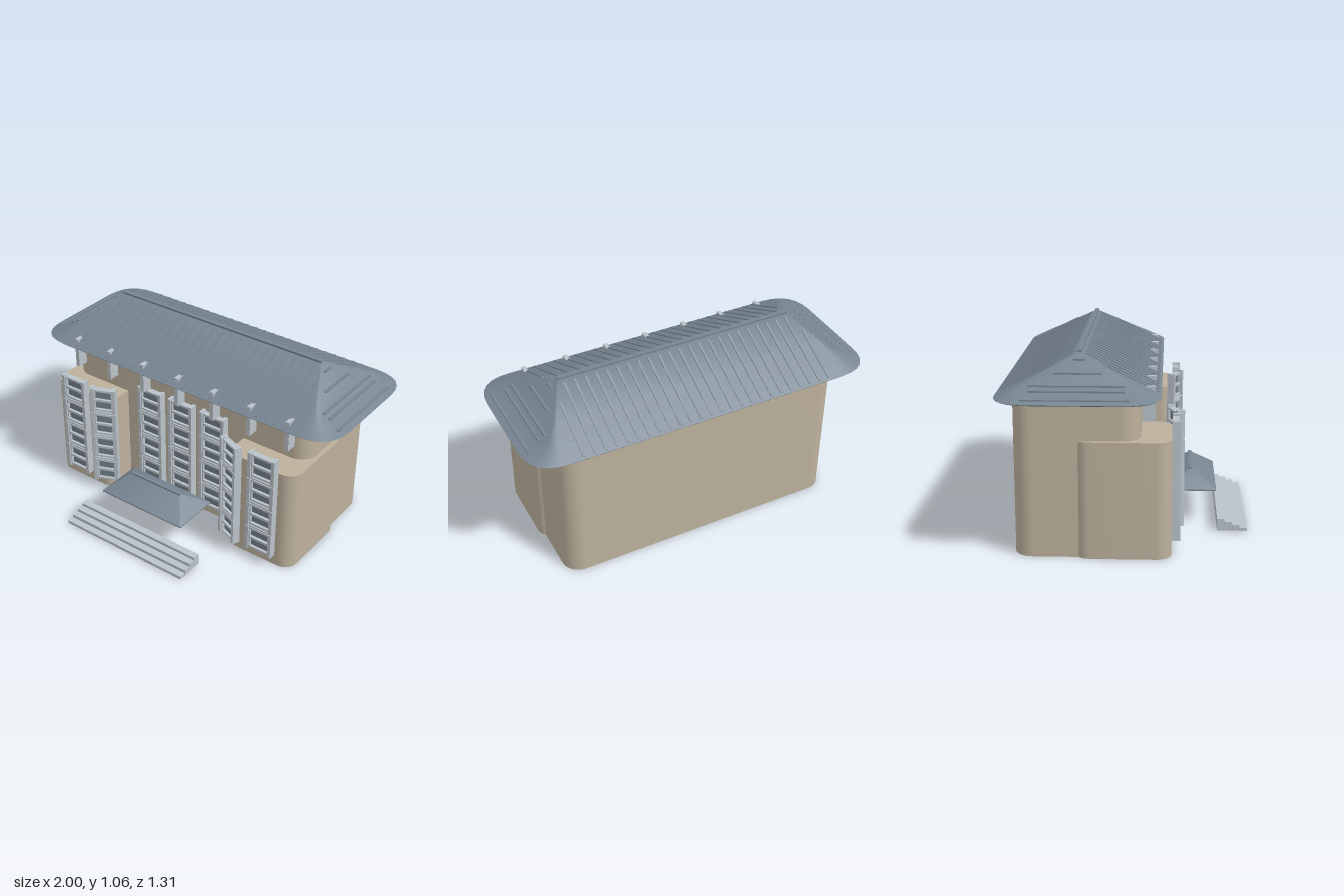
import * as THREE from 'three';
import { toCreasedNormals } from 'three/addons/utils/BufferGeometryUtils.js';

const material = (name, color) => {
  const m = new THREE.MeshStandardMaterial({ color });
  m.name = name;
  return m;
};

export function createModel() {
  const stone = material('tan wall', 0xbdb19d);
  const slate = material('slate roof', 0x788692);
  const pale = material('pale trim', 0xbac3ca);
  const glass = material('window grey', 0x737f89);
  const model = new THREE.Group();

  const add = (parent, name, geo, mat, x = 0, y = 0, z = 0) => {
    const mesh = new THREE.Mesh(geo, mat);
    mesh.name = name;
    mesh.position.set(x, y, z);
    parent.add(mesh);
    return mesh;
  };
  // box given by its minimum and maximum on each axis
  const box = (parent, name, mat, x0, x1, y0, y1, z0, z1) =>
    add(parent, name, new THREE.BoxGeometry(x1 - x0, y1 - y0, z1 - z0), mat,
      (x0 + x1) / 2, (y0 + y1) / 2, (z0 + z1) / 2);

  // upright block with rounded vertical edges
  const roundedBlock = (name, x0, x1, z0, z1, h, r) => {
    const a = (x1 - x0) / 2, b = (z1 - z0) / 2;
    const s = new THREE.Shape();
    s.absarc(a - r, b - r, r, 0, Math.PI / 2);
    s.absarc(r - a, b - r, r, Math.PI / 2, Math.PI);
    s.absarc(r - a, r - b, r, Math.PI, Math.PI * 1.5);
    s.absarc(a - r, r - b, r, Math.PI * 1.5, Math.PI * 2);
    s.closePath();
    const geo = new THREE.ExtrudeGeometry(s, { depth: h, bevelEnabled: false, curveSegments: 10 });
    geo.rotateX(-Math.PI / 2);
    add(model, name, toCreasedNormals(geo, 0.6), stone, (x0 + x1) / 2, 0, (z0 + z1) / 2);
  };
  roundedBlock('mainHall', -0.815, 0.815, -0.575, 0.08, 0.805, 0.1);
  roundedBlock('leftWing', 0.41, 0.84, -0.26, 0.24, 0.62, 0.08);
  roundedBlock('rightWing', -0.84, -0.41, -0.26, 0.24, 0.62, 0.08);

  // hipped roof lofted through level outlines: [y, half width, half depth, corner cut]
  const hipRoof = (levels) => {
    const steps = 6, n = 4 * (steps + 1), pos = [], idx = [];
    for (const [y, hx, hz, c] of levels) {
      [[1, 1], [-1, 1], [-1, -1], [1, -1]].forEach(([sx, sv], q) => {
        for (let i = 0; i <= steps; i++) {
          const t = q % 2 ? 1 - i / steps : i / steps;
          pos.push(sx * (hx - c * t * t), y, -sv * (hz - c * (1 - t) * (1 - t)));
        }
      });
    }
    const top = (levels.length - 1) * n, low = pos.length / 3;
    pos.push(0, levels[0][0], 0, 0, levels[levels.length - 1][0], 0);
    for (let i = 0; i < n; i++) {
      const j = (i + 1) % n;
      for (let k = 0; k < top; k += n) idx.push(k + i, k + j, k + n + j, k + i, k + n + j, k + n + i);
      idx.push(low, j, i, low + 1, top + i, top + j);
    }
    const geo = new THREE.BufferGeometry();
    geo.setAttribute('position', new THREE.Float32BufferAttribute(pos, 3));
    geo.setIndex(idx);
    return toCreasedNormals(geo, 0.5);
  };

  // main roof, with flared ends
  const roof = new THREE.Group();
  roof.name = 'mainRoof';
  roof.position.z = -0.235;
  model.add(roof);
  add(roof, 'roofShell', hipRoof([
    [0.842, 0.99, 0.415, 0.2], [0.848, 1.0, 0.42, 0.2], [0.87, 0.93, 0.375, 0.12],
    [0.897, 0.865, 0.32, 0.05], [0.947, 0.795, 0.215, 0.015], [1.05, 0.685, 0.008, 0.003],
  ]), slate);
  box(roof, 'ridgeCap', slate, -0.685, 0.685, 1.04, 1.06, -0.012, 0.012);

  // tile ribs down the long slopes
  const slope = Math.atan2(0.202, 0.412);
  for (let i = 0; i < 25; i++) {
    const x = -0.72 + i * 0.06;
    const from = Math.abs(x) > 0.68 ? 0.12 : 0.03;
    const length = (0.405 - from) / Math.cos(slope), mid = (from + 0.405) / 2;
    for (const side of [-1, 1]) {
      const rib = add(roof, 'tileRib', new THREE.BoxGeometry(0.014, 0.008, length), slate,
        x, 1.054 - mid * 0.49, side * mid);
      rib.rotation.x = side * slope;
    }
  }
  // level tile courses on the hipped ends: [x, y, half length]
  for (const side of [-1, 1]) {
    for (const [x, y, half] of [[0.722, 1.018, 0.03], [0.785, 0.96, 0.12], [0.85, 0.91, 0.24], [0.885, 0.89, 0.24], [0.955, 0.862, 0.27]]) {
      add(roof, 'endCourse', new THREE.BoxGeometry(0.016, 0.008, half * 2), slate, side * x, y, 0);
    }
  }

  // roof posts rising from the facade through the eaves
  for (let i = -3; i <= 3; i++) {
    const x = i * 0.2425;
    box(model, 'roofPost', pale, x - 0.012, x + 0.012, 0.71, 0.888, 0.09, 0.155);
  }

  // window bay of four stacked storeys, back plane at z
  const windowBay = (name, x, z, w, turn = 0) => {
    const bay = new THREE.Group();
    bay.name = name;
    bay.position.set(x, 0, z);
    bay.rotation.y = turn;
    model.add(bay);
    const h = w / 2, inner = h - 0.02;
    const shape = new THREE.Shape();
    shape.moveTo(-inner, 0.008).lineTo(inner, 0.008).lineTo(inner, 0.148).lineTo(-inner, 0.148).closePath();
    for (const y of [0.02, 0.085]) {
      const e = inner - 0.006, hole = new THREE.Path();
      hole.moveTo(-e, y).lineTo(-e, y + 0.051).lineTo(e, y + 0.051).lineTo(e, y).closePath();
      shape.holes.push(hole);
    }
    const frame = new THREE.ExtrudeGeometry(shape, { depth: 0.036, bevelEnabled: false });
    for (let i = 0; i < 4; i++) {
      const y = 0.066 + i * 0.1615;
      add(bay, 'windowFrame', frame, pale, 0, y, 0);
      box(bay, 'windowPane', glass, -inner + 0.002, inner - 0.002, y + 0.012, y + 0.144, 0.012, 0.02);
      for (const s of [-1, 1]) {
        const c = s * (h - 0.01);
        box(bay, 'bayPost', pale, c - 0.01, c + 0.01, y, y + 0.158, 0, 0.045);
      }
      if (i) box(bay, 'bayRail', pale, -h, h, y - 0.007, y + 0.003, 0.005, 0.038);
    }
  };
  for (const x of [-0.22, 0, 0.22]) windowBay('centreBay', x, 0.08, 0.168);
  for (const s of [-1, 1]) {
    windowBay('wingBay', s * 0.657, 0.24, 0.168);
    windowBay('cornerBay', s * 0.455, 0.236, 0.15, -s * 0.38);
  }

  // entrance canopy
  const canopy = new THREE.Group();
  canopy.name = 'entranceCanopy';
  canopy.position.z = 0.345;
  model.add(canopy);
  add(canopy, 'canopyShell', hipRoof([
    [0.188, 0.28, 0.142, 0.003], [0.195, 0.28, 0.142, 0.003], [0.285, 0.175, 0.008, 0.003],
  ]), slate);
  box(canopy, 'canopyRidge', slate, -0.175, 0.175, 0.278, 0.293, -0.01, 0.01);

  // entrance steps
  [0.07, 0.054, 0.037, 0.02].forEach((h, i) => {
    const z = 0.49 + i * 0.0415;
    box(model, 'step', pale, -0.408, 0.408, 0.003, h, z, z + 0.0405);
  });

  return model;
}
